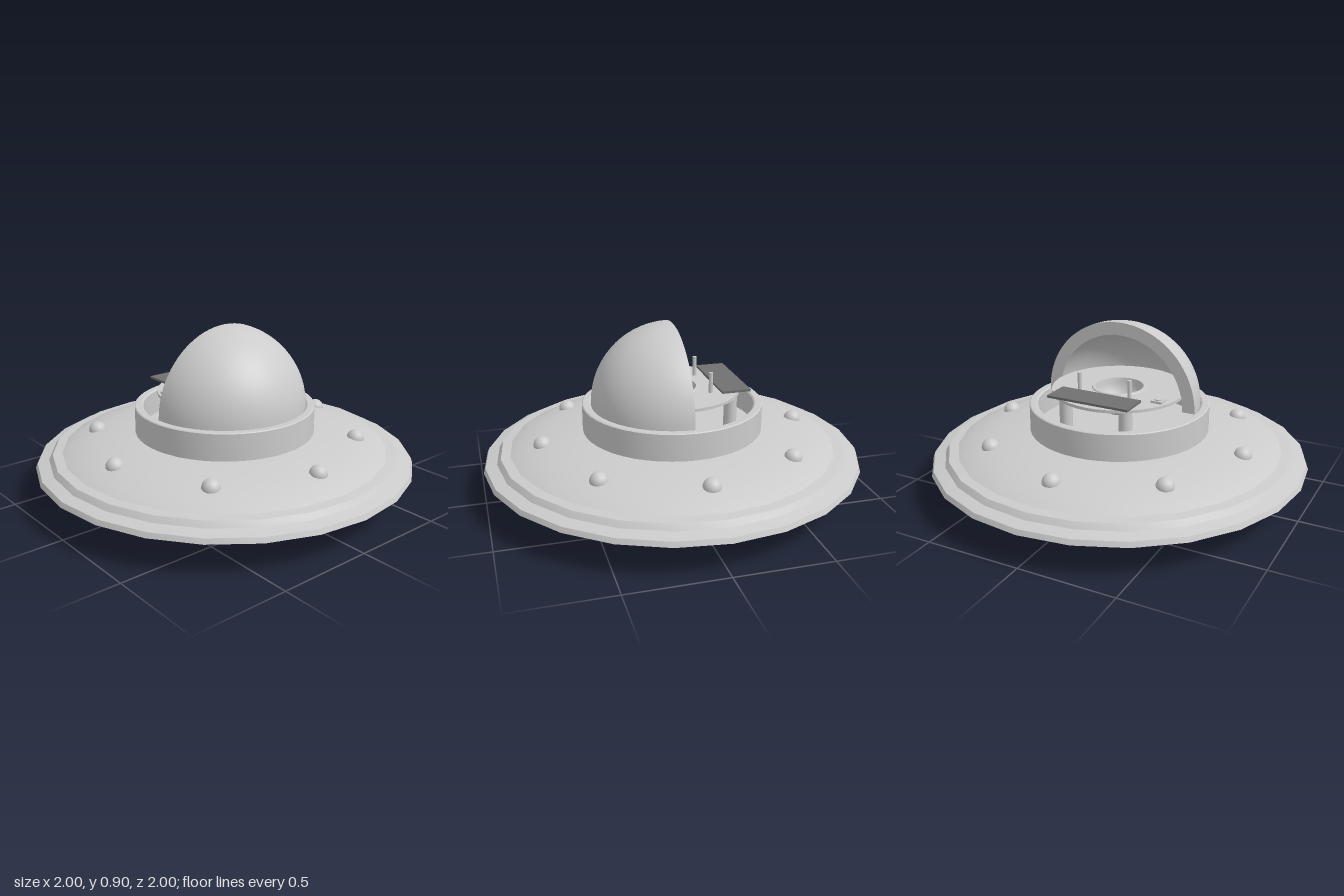
import * as THREE from 'three';
import { toCreasedNormals } from 'three/addons/utils/BufferGeometryUtils.js';

const grey = new THREE.MeshStandardMaterial({ color: 0xcccccc });
const dark = new THREE.MeshStandardMaterial({ color: 0x707070 });

// Points of a circular arc in the profile plane, angles in degrees
function arc(radius, cy, from, to, steps) {
  return Array.from({ length: steps + 1 }, (_, i) => {
    const a = THREE.MathUtils.degToRad(from + ((to - from) * i) / steps);
    return [Math.max(0, radius * Math.cos(a)), cy + radius * Math.sin(a)];
  });
}

function lathe(profile, segments, start = 0, length = Math.PI * 2) {
  const pts = profile.map(([r, y]) => new THREE.Vector2(r, y));
  return toCreasedNormals(new THREE.LatheGeometry(pts, segments, start, length), 0.35);
}

export function createModel() {
  const model = new THREE.Group();
  const add = (name, geometry, x = 0, y = 0, z = 0, material = grey) => {
    const mesh = new THREE.Mesh(geometry, material);
    mesh.name = name;
    mesh.position.set(x, y, z);
    model.add(mesh);
    return mesh;
  };

  // Saucer body with stepped rim
  add('hull', lathe([
    [0, 0], [0.29, 0], [0.45, 0.06], [0.81, 0.095], [0.9, 0.165], [1, 0.17],
    [0.99, 0.195], [0.93, 0.21], [0.91, 0.238], [0.86, 0.243], [0.8, 0.272],
    [0.68, 0.302], [0.46, 0.335], [0, 0.335],
  ], 24));

  // Cockpit wall and floor
  add('collar', lathe([
    [0.475, 0.32], [0.475, 0.472], [0.47, 0.476], [0.438, 0.476],
    [0.43, 0.47], [0.43, 0.345], [0, 0.345],
  ], 48));

  // Half canopy with a thick cut edge
  const outer = 0.428, inner = 0.36, domeY = 0.468;
  add('canopy', lathe([
    [inner, domeY], ...arc(outer, domeY, 0, 90, 20), ...arc(inner, domeY, 90, 0, 20),
  ], 32, -Math.PI / 2, Math.PI));
  add('canopyEdge', new THREE.RingGeometry(inner, outer, 40, 1, 0, Math.PI), 0, domeY, 0)
    .rotation.y = Math.PI;

  // Raised deck with a sunken bowl seat
  add('deckAndSeat', lathe([
    ...arc(0.143, 0.54, -90, -2, 10), [0.355, 0.535], [0.355, 0.55], [0.146, 0.55],
    [0.142, 0.556], [0.127, 0.556], ...arc(0.125, 0.545, 0, -90, 10),
  ], 40));

  // Console panel, its posts and the control sticks
  add('consolePanel', new THREE.BoxGeometry(0.45, 0.012, 0.152), 0, 0.572, -0.28, dark);
  for (const side of [-1, 1]) {
    add('consolePost', new THREE.CylinderGeometry(0.034, 0.034, 0.195, 16), side * 0.17, 0.44, -0.266);
    add('controlStick', new THREE.CylinderGeometry(0.011, 0.011, 0.11, 12), side * 0.143, 0.602, -0.168);
  }

  // Switch box with a round button
  add('switchBox', new THREE.BoxGeometry(0.06, 0.012, 0.058), -0.28, 0.556, -0.118);
  add('switchButton', new THREE.CylinderGeometry(0.02, 0.02, 0.006, 10), -0.28, 0.564, -0.118);

  // Ring of lamps
  for (let i = 0; i < 8; i++) {
    const a = (i * Math.PI) / 4;
    add('lamp', new THREE.SphereGeometry(0.046, 20, 14), 0.694 * Math.cos(a), 0.294, 0.694 * Math.sin(a));
  }
  return model;
}
